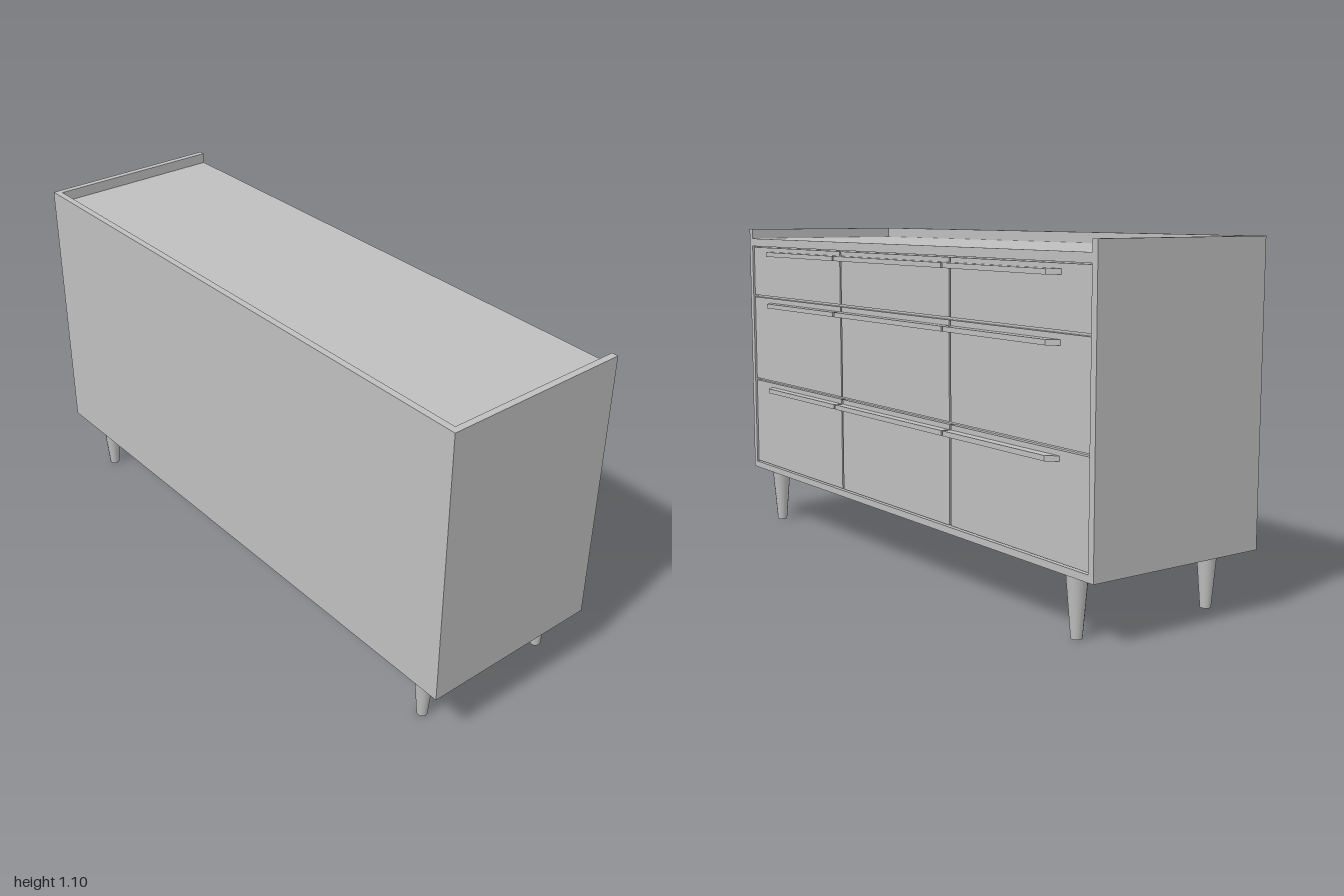
import * as THREE from 'three';

export function createModel() {
  const root = new THREE.Group();
  const grey = new THREE.MeshStandardMaterial({ color: 0xbfbfbf });
  grey.name = 'plain grey';

  function add(name, geometry, parent = root) {
    const mesh = new THREE.Mesh(geometry, grey);
    mesh.name = name;
    parent.add(mesh);
    return mesh;
  }
  // box given by its lower and upper limits on each axis
  function box(name, [x0, x1], [y0, y1], [z0, z1], parent) {
    const mesh = add(name, new THREE.BoxGeometry(x1 - x0, y1 - y0, z1 - z0), parent);
    mesh.position.set((x0 + x1) / 2, (y0 + y1) / 2, (z0 + z1) / 2);
    return mesh;
  }

  const T = 0.022;                     // board thickness
  const base = 0.19, rim = 1.10, deck = 1.065;
  const zDrawer = -0.3, zPanel = 0.325; // open drawer side and closed side
  const inner = 1 - T;

  // cabinet shell: two sides, closed panel, sunken top, bottom
  box('leftSide', [inner, 1], [base, rim], [zDrawer, zPanel]);
  box('rightSide', [-1, -inner], [base, rim], [zDrawer, zPanel]);
  box('closedPanel', [-inner, inner], [base, rim], [zPanel - T, zPanel]);
  box('topBoard', [-inner, inner], [1.037, deck], [zDrawer, zPanel - T]);
  box('bottomBoard', [-inner, inner], [base, base + T], [zDrawer, zPanel - T]);
  // dark-gap backing behind the drawer fronts
  box('drawerBacking', [-inner, inner], [base + T, 1.037], [-0.28, zPanel - T]);

  // drawers in three columns and three rows, each with a long bar pull
  const gap = 0.004, face = -0.295;
  const columnWidth = (2 * inner) / 3;
  const rows = [
    { top: 1.037, bottom: 0.85, pull: 1.01 },
    { top: 0.85, bottom: 0.533, pull: 0.821 },
    { top: 0.533, bottom: base + T, pull: 0.505 },
  ];
  const drawers = new THREE.Group();
  drawers.name = 'drawers';
  root.add(drawers);

  // pull outline seen from above; outer ends are cut at a slant
  function pullGeometry(x0, x1, cut0, cut1) {
    const shape = new THREE.Shape([
      new THREE.Vector2(x0, face),
      new THREE.Vector2(x0 + cut0, -0.325),
      new THREE.Vector2(x1 - cut1, -0.325),
      new THREE.Vector2(x1, face),
    ]);
    const geometry = new THREE.ExtrudeGeometry(shape, { depth: 0.016, bevelEnabled: false });
    return geometry.rotateX(Math.PI / 2); // shape y becomes z, depth goes down
  }

  rows.forEach(({ top, bottom, pull }) => {
    for (let c = -1; c <= 1; c++) {
      const x0 = (c - 0.5) * columnWidth, x1 = (c + 0.5) * columnWidth;
      box('drawerFront', [x0 + gap, x1 - gap], [bottom + gap, top - gap], [face, -0.279], drawers);
      const handle = add('drawerPull', pullGeometry(
        c < 0 ? -0.848 : x0 + gap, c > 0 ? 0.848 : x1 - gap,
        c < 0 ? 0.03 : 0, c > 0 ? 0.03 : 0), drawers);
      handle.position.y = pull + 0.008;
    }
  });

  // tapered round legs
  const legGeometry = new THREE.CylinderGeometry(0.033, 0.017, base, 12);
  for (const x of [-0.875, 0.875]) {
    for (const z of [-0.25, 0.25]) {
      add('leg', legGeometry).position.set(x, base / 2, z);
    }
  }
  return root;
}
